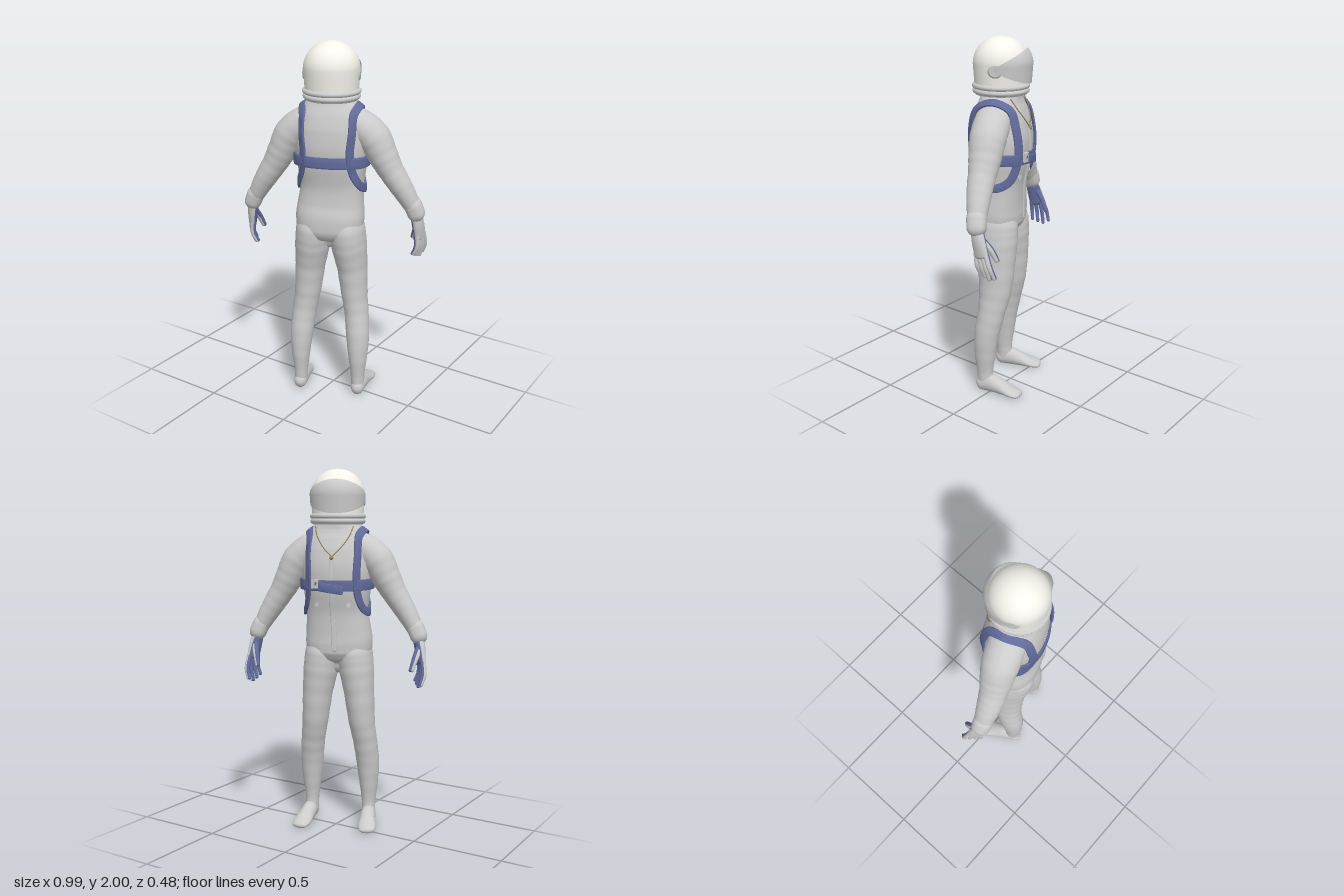
import * as THREE from 'three';
import { toCreasedNormals } from 'three/addons/utils/BufferGeometryUtils.js';
import { ParametricGeometry } from 'three/addons/geometries/ParametricGeometry.js';

const mat = (color) => new THREE.MeshStandardMaterial({ color, side: THREE.DoubleSide });
const grey = mat(0xcccccc), blue = mat(0x626b9c), white = mat(0xf4f4ec), brass = mat(0x9a8a55);
const V = (x, y, z) => new THREE.Vector3(x, y, z);
const X = V(1, 0, 0);
const power = (v, e) => Math.sign(v) * Math.abs(v) ** e;

function add(parent, name, geometry, material = grey) {
  const mesh = new THREE.Mesh(geometry, material);
  mesh.name = name;
  parent.add(mesh);
  return mesh;
}

// Skin through rows [x, y, z, a, b]: half-size a along ref, b across it; open ends get round caps.
function sweep(rows, ref = () => X, { closed = false, e = 1, fold = 0, n = 28, per = 8 } = {}) {
  const path = new THREE.CatmullRomCurve3(rows.map((r) => V(r[0], r[1], r[2])), closed);
  const size = new THREE.CatmullRomCurve3(rows.map((r) => V(r[3], r[4], 0)), closed);
  const steps = (closed ? rows.length : rows.length - 1) * per;
  const rings = [];
  for (let i = 0; i < steps + (closed ? 0 : 1); i++) {
    const t = i / steps, c = path.getPoint(t), tan = path.getTangent(t), s = size.getPoint(t);
    const k = 1 + fold * (Math.sin(i * 1.25) + 0.6 * Math.sin(i * 0.47 + 1)) * Math.sin(Math.PI * t);
    rings.push({ c, tan, a: s.x * k, b: s.y * k });
  }
  if (!closed) {
    for (const [end, sign] of [[rings[0], -1], [rings[rings.length - 1], 1]]) {
      for (let k = 1; k <= 5; k++) {
        const f = (k / 5) * Math.PI / 2, h = Math.min(end.a, end.b) * Math.sin(f) * sign;
        const s = Math.max(Math.cos(f), 0.001);
        const ring = { c: end.c.clone().addScaledVector(end.tan, h), tan: end.tan, a: end.a * s, b: end.b * s };
        if (sign < 0) rings.unshift(ring); else rings.push(ring);
      }
    }
  }
  const pos = [], index = [];
  rings.forEach(({ c, tan, a, b }, i) => {
    const u = ref(c).clone();
    u.addScaledVector(tan, -u.dot(tan)).normalize();
    const v = tan.clone().cross(u);
    for (let j = 0; j < n; j++) {
      const q = (j / n) * Math.PI * 2;
      const p = c.clone().addScaledVector(u, a * power(Math.cos(q), e)).addScaledVector(v, b * power(Math.sin(q), e));
      pos.push(p.x, p.y, p.z);
      if (i === rings.length - 1 && !closed) continue;
      const i2 = (i + 1) % rings.length, j2 = (j + 1) % n;
      index.push(i * n + j, i * n + j2, i2 * n + j2, i * n + j, i2 * n + j2, i2 * n + j);
    }
  });
  const g = new THREE.BufferGeometry();
  g.setAttribute('position', new THREE.Float32BufferAttribute(pos, 3));
  g.setIndex(index);
  g.computeVertexNormals();
  return g;
}

const torsoSquare = 0.85;
const torsoRows = [
  [-0.008, 0.93, 0.01, 0.07, 0.055], [-0.008, 0.955, 0.012, 0.145, 0.105], [-0.008, 1.0, 0.014, 0.182, 0.128],
  [-0.008, 1.06, 0.012, 0.187, 0.13], [-0.005, 1.13, 0.005, 0.181, 0.122], [0, 1.22, 0, 0.172, 0.122],
  [0, 1.34, -0.003, 0.184, 0.144], [0, 1.46, -0.001, 0.194, 0.156], [0, 1.56, 0.004, 0.186, 0.146],
  [0, 1.63, 0.005, 0.168, 0.126], [0, 1.675, 0.003, 0.146, 0.108], [0, 1.71, 0, 0.118, 0.1],
];

// Point on the torso at an angle (0 = side, 90 = back) and height
function onTorso(deg, y, lift = 0.006) {
  let i = 0;
  while (i < torsoRows.length - 2 && torsoRows[i + 1][1] < y) i++;
  const p = torsoRows[i], q = torsoRows[i + 1], t = (y - p[1]) / (q[1] - p[1]);
  const m = (k) => p[k] + (q[k] - p[k]) * t, r = (deg * Math.PI) / 180;
  return [m(0) + (m(3) + lift) * power(Math.cos(r), torsoSquare), y,
    m(2) + (m(4) + lift) * power(Math.sin(r), torsoSquare)];
}

// Flat webbing lying on the torso
const outward = (p) => V(p.x, Math.max(0, p.y - 1.57) * 2, p.z);
const webbing = (pts, half, closed) => toCreasedNormals(
  sweep(pts.map((p) => [...p, 0.006, half]), outward, { closed, e: 0.35, n: 20 }), 0.7);

const domeRadius = (y) => (y > 1.86
  ? 0.148 * Math.sqrt(Math.max(0, 1 - ((y - 1.86) / 0.14) ** 2))
  : 0.148 - 0.008 * ((1.86 - y) / 0.12));

function buildHelmet() {
  const g = new THREE.Group();
  g.name = 'helmet';
  g.position.z = 0.008;
  g.rotation.y = 0.12;
  const profile = [new THREE.Vector2(0, 1.7), new THREE.Vector2(0.138, 1.7)];
  for (let i = 0; i <= 4; i++) profile.push(new THREE.Vector2(domeRadius(1.74 + i * 0.03), 1.74 + i * 0.03));
  for (let i = 1; i <= 14; i++) {
    const f = (i / 14) * Math.PI / 2;
    profile.push(new THREE.Vector2(Math.max(0, 0.148 * Math.cos(f)), 1.86 + 0.14 * Math.sin(f)));
  }
  add(g, 'helmetShell', new THREE.LatheGeometry(profile, 48), white);
  // Visor bulges at the front and narrows to the pivots
  add(g, 'visor', new ParametricGeometry((u, v, out) => {
    const a = (u - 0.5) * Math.PI, w = 0.12 + 0.88 * Math.cos(a);
    const y = 1.84 + w * (-0.08 + 0.18 * v);
    const r = domeRadius(y) * (1.012 + 0.13 * Math.cos(a)) + 0.001;
    out.set(r * Math.sin(a), y, -r * Math.cos(a));
  }, 40, 16));
  for (const s of [-1, 1]) {
    const pivot = add(g, 'visorPivot', new THREE.CylinderGeometry(0.03, 0.042, 0.01, 20));
    pivot.rotation.z = -s * Math.PI / 2;
    pivot.position.set(s * 0.144, 1.835, 0);
  }
  for (const [y, r] of [[1.745, 0.14], [1.719, 0.138]]) {
    const ring = add(g, 'neckRing', new THREE.TorusGeometry(r, 0.014, 12, 48));
    ring.rotation.x = Math.PI / 2;
    ring.position.y = y;
  }
  return g;
}

function buildArm(s) {
  const g = new THREE.Group();
  g.name = s > 0 ? 'leftSideArm' : 'rightSideArm';
  const limb = (name, rows, material, opt, ref = X) =>
    add(g, name, sweep(rows.map(([x, ...r]) => [x * s, ...r]), () => ref, opt), material);
  limb('sleeve', [
    [0.07, 1.612, 0.003, 0.058, 0.085], [0.15, 1.57, 0.003, 0.085, 0.098], [0.222, 1.505, 0.001, 0.09, 0.097],
    [0.27, 1.42, 0, 0.08, 0.088], [0.311, 1.345, 0, 0.07, 0.076], [0.362, 1.265, -0.002, 0.062, 0.068],
    [0.405, 1.195, -0.008, 0.054, 0.059], [0.445, 1.12, -0.016, 0.042, 0.046]], grey, { fold: 0.009 });
  limb('cuff', [[0.438, 1.145, -0.014, 0.048, 0.052], [0.457, 1.1, -0.02, 0.047, 0.051]], grey, { per: 3, e: 0.85 });
  // Glove: grey outer layer, blue palm layer set inward; the palm turns partly forward
  const c = Math.cos(0.4), sn = Math.sin(0.4), across = V(c * s, 0, sn);
  for (const [name, material, shift, k] of [['glove', grey, 0, 1], ['palm', blue, 0.008, 0.92]]) {
    // Row at a point moved sideways over the hand by w, half-sizes a and b
    const at = (x, y, z, w, a, b) => [x - c * shift - sn * w, y, z - sn * shift + c * w, a * k, b * k];
    limb(name, [at(0.458, 1.09, -0.02, 0, 0.027, 0.033), at(0.47, 1.03, -0.034, 0, 0.025, 0.042),
      at(0.48, 0.96, -0.052, 0, 0.018, 0.046)], material, { n: 20 }, across);
    for (let i = 0; i < 4; i++) {
      const o = i - 1.5, tip = 0.832 + Math.abs(o + 0.4) * 0.014;
      limb(name + 'Finger', [at(0.48, 0.965, -0.05, o * 0.023, 0.0125, 0.0125),
        at(0.484, 0.9, -0.064, o * 0.029, 0.012, 0.012),
        at(0.468, tip, -0.076, o * 0.032, 0.01, 0.01)], material, { n: 10, per: 5 }, across);
    }
    limb(name + 'Thumb', [at(0.468, 1.035, -0.052, 0, 0.018, 0.018), at(0.452, 0.985, -0.09, 0, 0.015, 0.015),
      at(0.435, 0.925, -0.117, 0, 0.011, 0.011)], material, { n: 12, per: 5 }, across);
  }
  return g;
}

function buildLeg(s) {
  const g = new THREE.Group();
  g.name = s > 0 ? 'leftSideLeg' : 'rightSideLeg';
  const limb = (name, rows, opt) => add(g, name, sweep(rows.map(([x, ...r]) => [x * s, ...r]), () => X, opt));
  limb('trouserLeg', [
    [0.085, 1.07, 0.013, 0.08, 0.098], [0.094, 0.98, 0.014, 0.098, 0.127], [0.104, 0.89, 0.008, 0.096, 0.122],
    [0.12, 0.76, 0, 0.083, 0.104], [0.135, 0.6, 0.005, 0.073, 0.09], [0.152, 0.48, 0.022, 0.067, 0.075],
    [0.163, 0.36, 0.044, 0.065, 0.071], [0.167, 0.22, 0.055, 0.051, 0.059], [0.167, 0.12, 0.055, 0.039, 0.046],
    [0.168, 0.06, 0.052, 0.037, 0.046]], { fold: 0.009 });
  limb('foot', [
    [0.169, 0.046, 0.07, 0.037, 0.045], [0.172, 0.054, 0.02, 0.042, 0.053], [0.178, 0.042, -0.045, 0.045, 0.041],
    [0.187, 0.026, -0.11, 0.051, 0.025], [0.193, 0.019, -0.15, 0.043, 0.018]]);
  return g;
}

function buildHarness() {
  const g = new THREE.Group();
  g.name = 'harness';
  const loop = [[0, 1.677], [42, 1.635], [50, 1.55], [55, 1.44], [49, 1.34], [28, 1.26], [-5, 1.225],
    [-36, 1.26], [-49, 1.34], [-52, 1.44], [-49, 1.55], [-42, 1.635]];
  for (const s of [-1, 1]) {
    const pts = loop.map(([d, y]) => { const p = onTorso(d, y, 0.009); return [p[0] * s, p[1], p[2]]; });
    add(g, 'shoulderStrap', webbing(pts, 0.023, true), blue);
  }
  const belt = Array.from({ length: 20 }, (_, i) => onTorso(i * 18, 1.383 + 0.008 * Math.sin(i * 0.1 * Math.PI), 0.012));
  add(g, 'chestBelt', webbing(belt, 0.03, true), blue);
  add(g, 'beltFlap', webbing([-104, -92, -80, -68].map((d, i) => onTorso(d, 1.35 + i * 0.008, 0.02)), 0.024, false), blue);
  const buckle = add(g, 'buckle', new THREE.BoxGeometry(0.04, 0.05, 0.014));
  buckle.position.set(...onTorso(-68, 1.385, 0.018));
  buckle.rotation.y = -0.25;
  return g;
}

// Zip, neck cord and hose ports on the front
function buildFrontDetails() {
  const g = new THREE.Group();
  g.name = 'frontDetails';
  const zip = [1.52, 1.42, 1.32, 1.22, 1.12, 1.02].map((y) => [...onTorso(-90, y, 0.003), 0.014, 0.006]);
  add(g, 'zipFlap', sweep(zip, () => X, { e: 0.5, n: 12 }));
  for (const s of [-1, 1]) {
    const cord = [[-45, 1.69], [-62, 1.64], [-78, 1.58], [-90, 1.53]].map(([d, y]) => {
      const p = onTorso(d, y, 0.006);
      return V(p[0] * s, p[1], p[2]);
    });
    add(g, 'neckCord', new THREE.TubeGeometry(new THREE.CatmullRomCurve3(cord), 20, 0.003, 6), brass);
    const port = add(g, 'hosePort', new THREE.CylinderGeometry(0.012, 0.014, 0.01, 14));
    port.position.set(...onTorso(-90 + s * 25, 1.27, 0.002));
    port.rotation.set(Math.PI / 2, 0, s * 0.3);
  }
  add(g, 'pendant', new THREE.SphereGeometry(0.012, 14, 10), brass).position.set(...onTorso(-90, 1.525, 0.006));
  return g;
}

export function createModel() {
  const model = new THREE.Group();
  model.name = 'spacesuitFigure';
  const figure = new THREE.Group();
  figure.name = 'turnedFigure';
  figure.position.set(0.016, 0, 0.04);
  figure.rotation.y = 0.35;
  model.add(figure);
  add(figure, 'torso', sweep(torsoRows, () => X, { n: 48, e: torsoSquare }));
  figure.add(buildHelmet(), buildHarness(), buildFrontDetails());
  for (const s of [-1, 1]) {
    const leg = buildLeg(s);
    leg.position.x = -0.005;
    figure.add(buildArm(s), leg);
  }
  return model;
}
